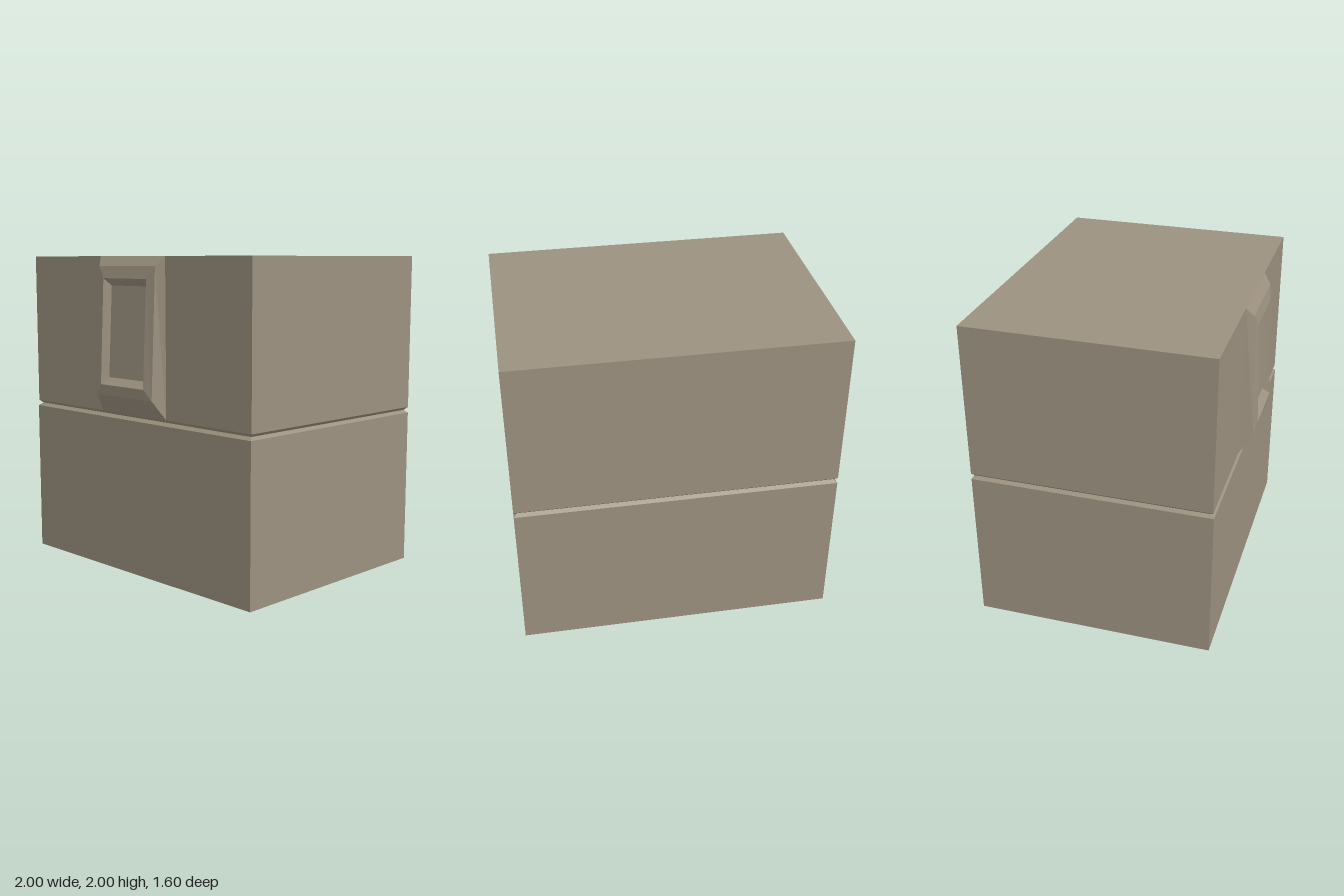
import * as THREE from 'three';

const material = new THREE.MeshStandardMaterial({ color: 0x9c917f, flatShading: true });

// Skins a stack of four-cornered rings, closing the chosen ends.
function loft(name, rings, capStart = true) {
  const positions = [];
  const quad = (a, b, c, d) => [a, b, c, a, c, d].forEach((p) => positions.push(...p));
  for (let r = 0; r < rings.length - 1; r++) {
    const lower = rings[r];
    const upper = rings[r + 1];
    for (let i = 0; i < 4; i++) {
      const j = (i + 1) % 4;
      quad(lower[i], lower[j], upper[j], upper[i]);
    }
  }
  if (capStart) quad(...[...rings[0]].reverse());
  quad(...rings[rings.length - 1]);
  const geometry = new THREE.BufferGeometry();
  geometry.setAttribute('position', new THREE.Float32BufferAttribute(positions, 3));
  geometry.computeVertexNormals();
  const mesh = new THREE.Mesh(geometry, material);
  mesh.name = name;
  return mesh;
}

// Horizontal rectangle at height y, shrunk on all sides by inset.
function levelRing(y, front, inset = 0) {
  const x = 1 - inset;
  const f = front - inset;
  const b = -0.8 + inset;
  return [[-x, y, f], [x, y, f], [x, y, b], [-x, y, b]];
}

// Upright rectangle facing forward, with its own depth at bottom and top.
function faceRing(x, bottom, top, zBottom, zTop) {
  return [[-x, bottom, zBottom], [x, bottom, zBottom], [x, top, zTop], [-x, top, zTop]];
}

export function createModel() {
  const model = new THREE.Group();
  model.name = 'chest';

  // Lower block, bevelled in towards the seam
  model.add(loft('lowerBody', [
    levelRing(0, 0.71),
    levelRing(0.985, 0.71),
    levelRing(1.003, 0.71, 0.022),
  ]));

  // Upper block, bevelled in towards the seam
  model.add(loft('lid', [
    levelRing(1.003, 0.705, 0.02),
    levelRing(1.022, 0.705),
    levelRing(2, 0.705),
  ]));

  // Raised, sloping front plate with a recessed panel
  model.add(loft('latchPlate', [
    faceRing(0.3, 1.022, 2, 0.705, 0.705),
    faceRing(0.26, 1.14, 1.94, 0.785, 0.75),
    faceRing(0.2, 1.207, 1.865, 0.8, 0.768),
    faceRing(0.172, 1.25, 1.82, 0.755, 0.725),
  ], false));

  return model;
}
